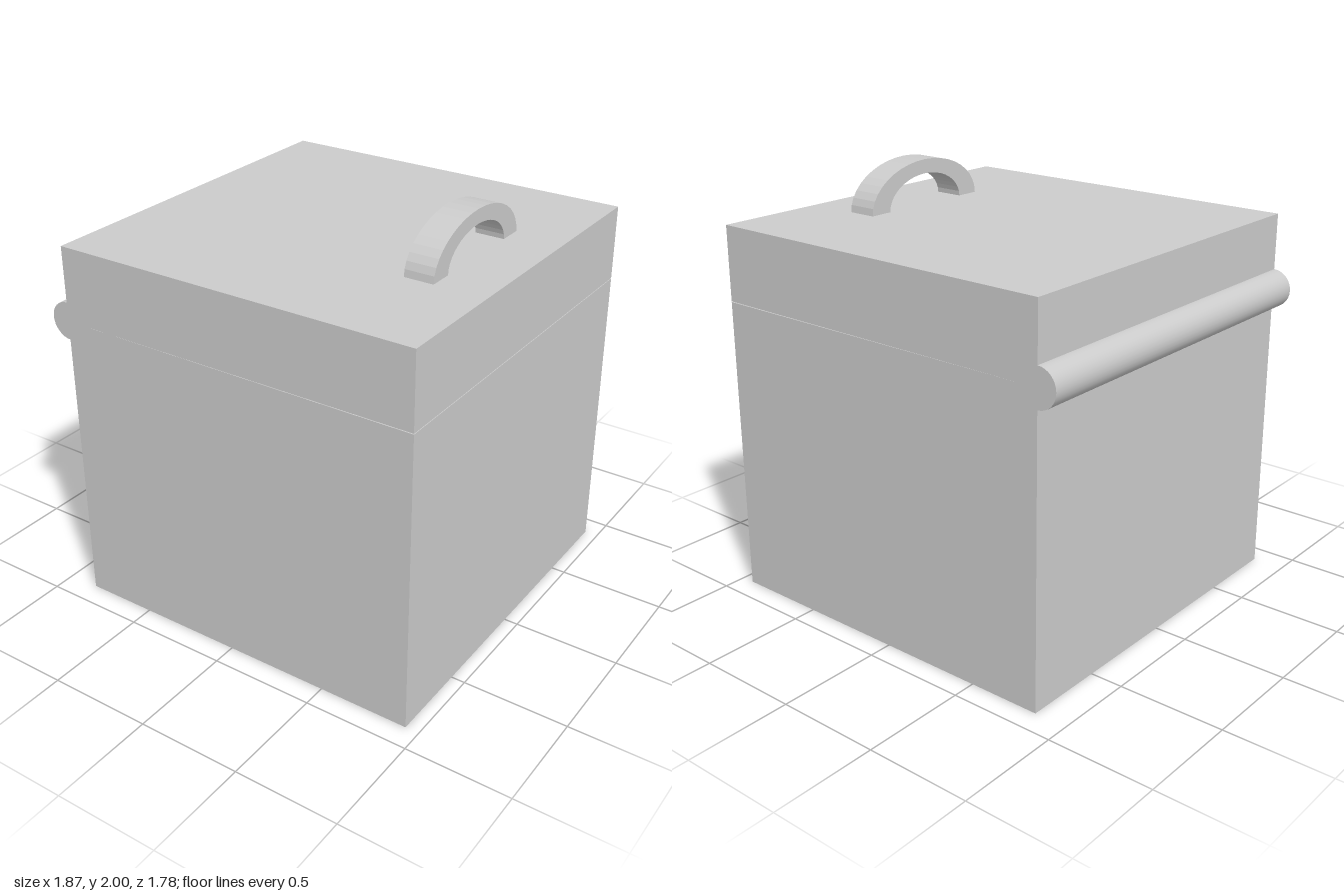
import * as THREE from 'three';

const LEFT = -0.845, WIDTH = 1.78, DEPTH = 1.78;
const SEAM = 1.43, LID_HEIGHT = 0.355;

export function createModel() {
  const model = new THREE.Group();
  model.name = 'hingedBox';
  const smooth = new THREE.MeshStandardMaterial({ color: 0xcccccc });
  const flat = new THREE.MeshStandardMaterial({ color: 0xcccccc, flatShading: true });

  const add = (parent, name, geometry, material, x, y, z = 0) => {
    const mesh = new THREE.Mesh(geometry, material);
    mesh.name = name;
    mesh.position.set(x, y, z);
    parent.add(mesh);
    return mesh;
  };

  // Lower box
  add(model, 'body', new THREE.BoxGeometry(WIDTH, SEAM, DEPTH), flat, LEFT + WIDTH / 2, SEAM / 2);

  // Hinge rod along the seam
  const rod = new THREE.CylinderGeometry(0.09, 0.09, DEPTH, 32).rotateX(Math.PI / 2);
  add(model, 'hingeRod', rod, smooth, LEFT, SEAM);

  // Lid pivots on the hinge, a hair's breadth open
  const lid = new THREE.Group();
  lid.name = 'lidAssembly';
  lid.position.set(LEFT, SEAM, 0);
  lid.rotation.z = 0.002;
  model.add(lid);
  add(lid, 'lid', new THREE.BoxGeometry(WIDTH, LID_HEIGHT, DEPTH), flat, WIDTH / 2, LID_HEIGHT / 2);

  // Half-oval handle running front to back
  const arch = new THREE.Shape();
  arch.absellipse(0, 0, 0.355, 0.213, 0, Math.PI, false);
  arch.lineTo(-0.24, 0);
  arch.absellipse(0, 0, 0.24, 0.146, Math.PI, 0, true);
  arch.closePath();
  const handle = new THREE.ExtrudeGeometry(arch, { depth: 0.14, bevelEnabled: false, curveSegments: 10 });
  handle.translate(0, 0, -0.07).rotateY(Math.PI / 2);
  add(lid, 'handle', handle, flat, 0.62 - LEFT, LID_HEIGHT);

  return model;
}
